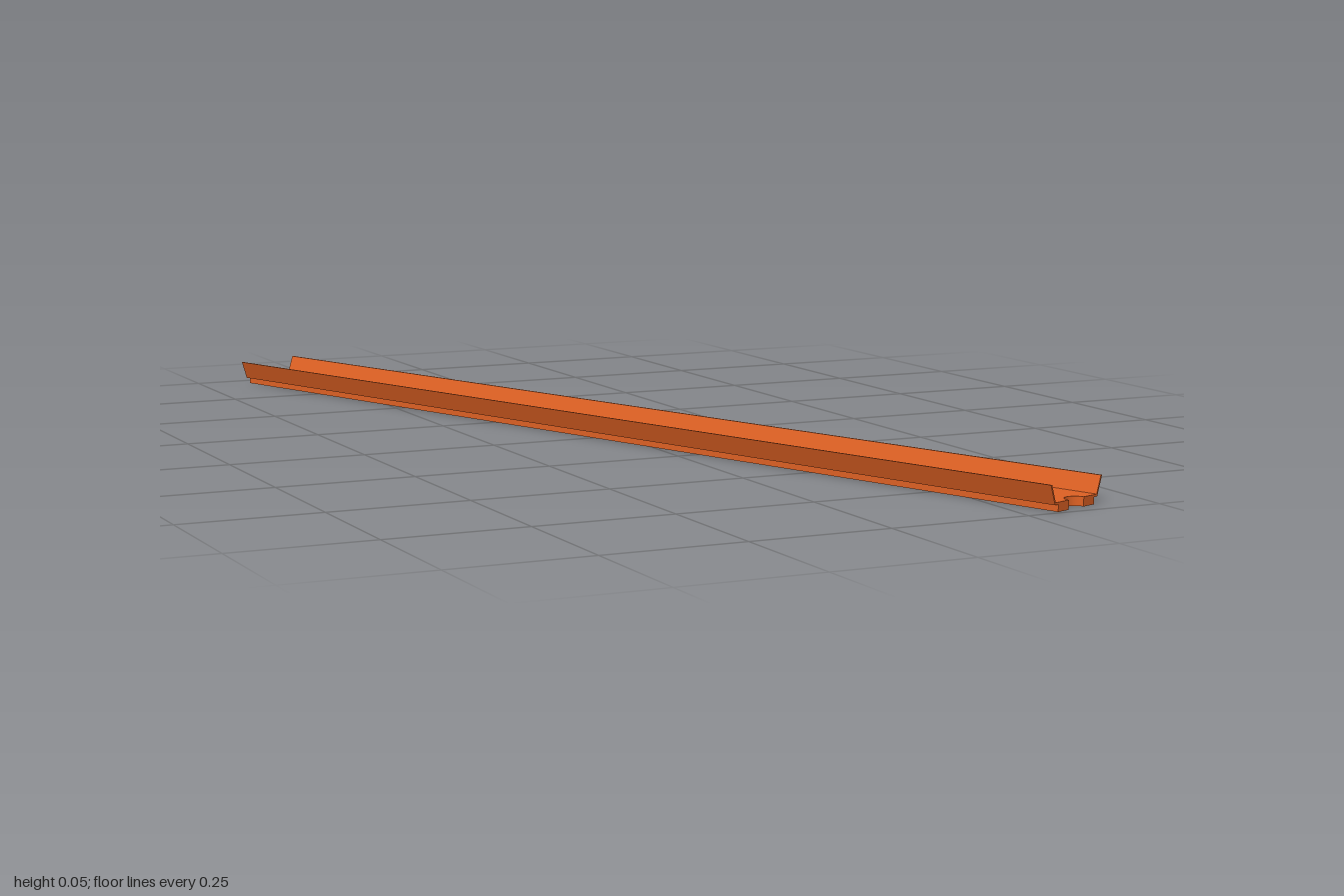
import * as THREE from 'three';

const HALF = 1.039;      // half length of the beam
const NOTCH = 0.02;      // radius of the rounded cut at each end

export function createModel() {
  const model = new THREE.Group();
  model.name = 'channelBeam';
  const beam = new THREE.Group();
  beam.name = 'beam';
  const material = new THREE.MeshStandardMaterial({ color: 0xe06224, side: THREE.DoubleSide });

  const add = (name, geometry) => {
    const mesh = new THREE.Mesh(geometry, material);
    mesh.name = name;
    beam.add(mesh);
  };

  // Long slab with a half-round notch in the middle of both ends
  const slab = (halfWidth, bottom, top) => {
    const s = new THREE.Shape();
    s.moveTo(-halfWidth, -HALF);
    s.lineTo(-NOTCH, -HALF);
    s.absarc(0, -HALF, NOTCH, Math.PI, 0, true);
    s.lineTo(halfWidth, -HALF);
    s.lineTo(halfWidth, HALF);
    s.lineTo(NOTCH, HALF);
    s.absarc(0, HALF, NOTCH, 0, Math.PI, true);
    s.lineTo(-halfWidth, HALF);
    s.closePath();
    const g = new THREE.ExtrudeGeometry(s, { depth: top - bottom, bevelEnabled: false, curveSegments: 10 });
    return g.rotateX(-Math.PI / 2).translate(0, bottom, 0);
  };

  add('baseRail', slab(0.048, 0, 0.012));
  add('floor', slab(0.0565, 0.012, 0.016));

  // Thin side walls leaning outwards
  for (const [name, side] of [['leftWall', 1], ['rightWall', -1]]) {
    const profile = new THREE.Shape(
      [[0.0535, 0.012], [0.0565, 0.012], [0.0685, 0.046], [0.0655, 0.046]]
        .map(([x, y]) => new THREE.Vector2(side * x, y)));
    const g = new THREE.ExtrudeGeometry(profile, { depth: 2 * HALF, bevelEnabled: false });
    add(name, g.translate(0, 0, -HALF));
  }

  // The beam lies at a slant across the ground
  beam.rotation.y = THREE.MathUtils.degToRad(20);
  model.add(beam);
  return model;
}
